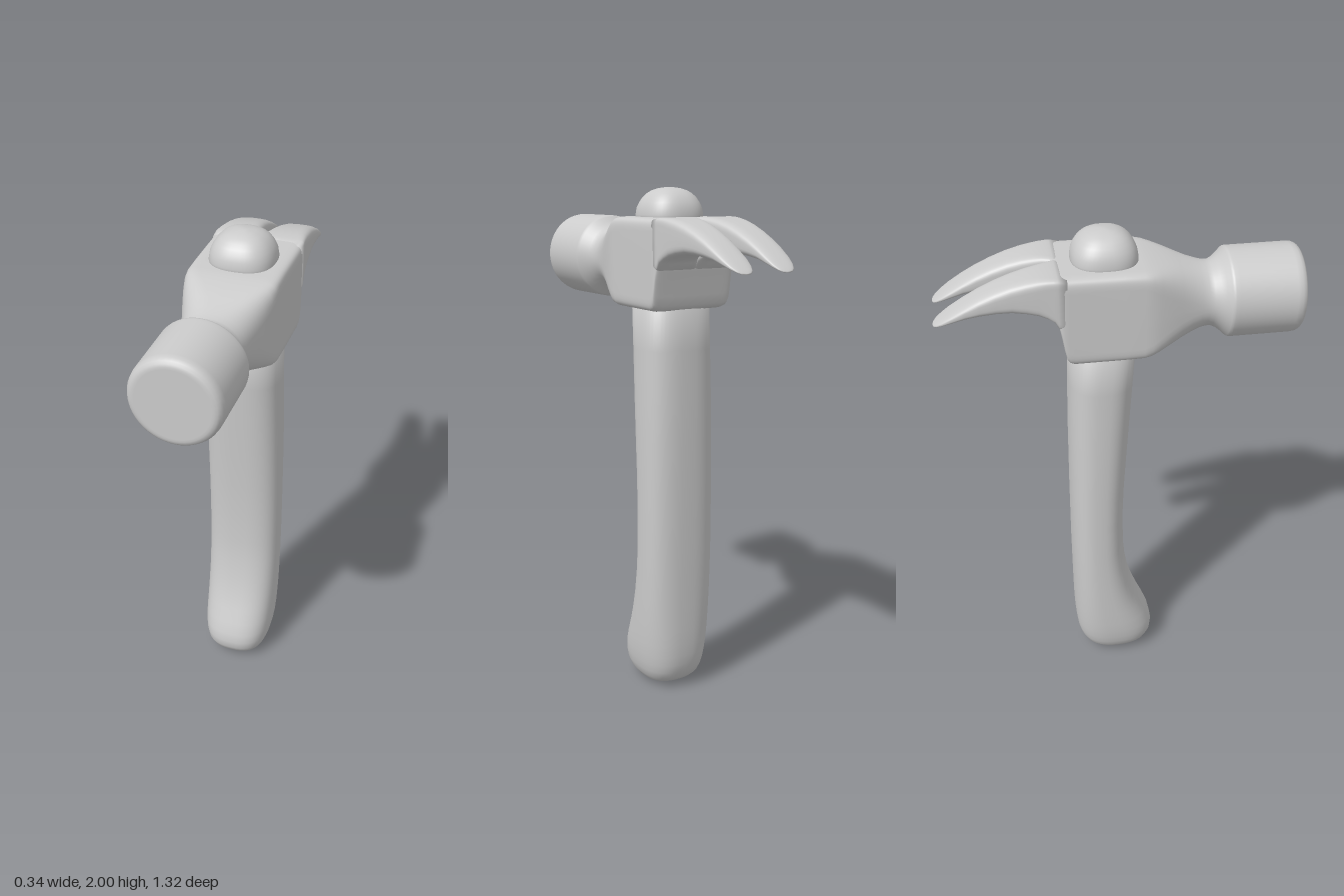
import * as THREE from 'three';

const material = new THREE.MeshStandardMaterial({ color: 0xcccccc });

// Lofts superellipse rings. Row: [t, aMin, aMax, bMin, bMax, squareness], t ascending.
// place(a, b, t) maps to a point, with a x b pointing along t.
function loft(name, rows, place, sides = 48) {
  const pos = [], idx = [];
  const bend = (v, n) => Math.sign(v) * Math.pow(Math.abs(v), 2 / n);
  for (const [t, a0, a1, b0, b1, n] of rows) {
    for (let j = 0; j < sides; j++) {
      const u = (j / sides) * Math.PI * 2;
      const a = (a0 + a1) / 2 + bend(Math.cos(u), n) * (a1 - a0) / 2;
      const b = (b0 + b1) / 2 + bend(Math.sin(u), n) * (b1 - b0) / 2;
      pos.push(...place(a, b, t));
    }
  }
  const last = (rows.length - 1) * sides;
  for (let i = 0; i < last; i += sides) {
    for (let j = 0; j < sides; j++) {
      const k = (j + 1) % sides;
      idx.push(i + j, i + k, i + sides + k, i + j, i + sides + k, i + sides + j);
    }
  }
  // End caps
  const first = rows[0], end = rows[rows.length - 1], c = pos.length / 3;
  for (const [t, a0, a1, b0, b1] of [first, end]) pos.push(...place((a0 + a1) / 2, (b0 + b1) / 2, t));
  for (let j = 0; j < sides; j++) {
    const k = (j + 1) % sides;
    idx.push(c, k, j, c + 1, last + j, last + k);
  }
  const geo = new THREE.BufferGeometry();
  geo.setAttribute('position', new THREE.Float32BufferAttribute(pos, 3));
  geo.setIndex(idx);
  geo.computeVertexNormals();
  const mesh = new THREE.Mesh(geo, material);
  mesh.name = name;
  return mesh;
}

const upright = (z, x, y) => [x, y, z];
const alongZ = (x, y, z) => [x, y, z];

export function createModel() {
  const group = new THREE.Group();
  group.name = 'hammer';

  // Handle: [y, back z, front z, half width]
  const grip = [
    [0.0, -0.07, 0.03, 0.05], [0.008, -0.105, 0.065, 0.08], [0.022, -0.135, 0.095, 0.105],
    [0.045, -0.16, 0.122, 0.122], [0.075, -0.175, 0.137, 0.133], [0.11, -0.185, 0.14, 0.14],
    [0.15, -0.19, 0.132, 0.145], [0.2, -0.194, 0.112, 0.148], [0.26, -0.196, 0.086, 0.149],
    [0.32, -0.197, 0.063, 0.15], [0.4, -0.198, 0.04, 0.15], [0.5, -0.199, 0.022, 0.15],
    [0.6, -0.2, 0.013, 0.15], [0.75, -0.2, 0.011, 0.15], [0.9, -0.2, 0.016, 0.15],
    [1.05, -0.199, 0.025, 0.15], [1.2, -0.198, 0.035, 0.149], [1.4, -0.194, 0.049, 0.146],
    [1.6, -0.19, 0.062, 0.144],
  ];
  group.add(loft('handle', grip.map(([y, b, f, w]) => [y, b, f, -w, w, 2.6]), upright));

  // Domed end of the handle above the head: [y, radius]
  const knob = [
    [1.86, 0.121], [1.9, 0.12], [1.925, 0.116], [1.945, 0.107], [1.962, 0.096],
    [1.977, 0.081], [1.988, 0.063], [1.996, 0.04], [2.0, 0.012],
  ];
  group.add(loft('handleTop', knob.map(([y, r]) => [y, -0.053 - r, -0.053 + r, -r, r, 2.5]), upright));

  // Head block, neck and striking face: [z, half width, bottom y, top y, squareness]
  const head = [
    [-0.238, 0.155, 1.745, 1.885, 12], [-0.23, 0.166, 1.70, 1.892, 12],
    [-0.222, 0.17, 1.66, 1.893, 12], [-0.214, 0.171, 1.61, 1.893, 12],
    [-0.207, 0.172, 1.575, 1.893, 12], [-0.197, 0.172, 1.56, 1.893, 12],
    [-0.18, 0.172, 1.554, 1.893, 12], [0.0, 0.172, 1.554, 1.893, 12],
    [0.07, 0.172, 1.554, 1.892, 11], [0.1, 0.17, 1.557, 1.889, 9],
    [0.13, 0.164, 1.563, 1.884, 6.5], [0.17, 0.153, 1.573, 1.876, 4.5],
    [0.21, 0.14, 1.584, 1.865, 3.4], [0.25, 0.128, 1.594, 1.853, 2.7],
    [0.285, 0.121, 1.602, 1.845, 2.3], [0.31, 0.119, 1.604, 1.84, 2.1],
    [0.33, 0.122, 1.602, 1.841, 2], [0.35, 0.131, 1.592, 1.85, 2],
    [0.368, 0.146, 1.577, 1.865, 2], [0.383, 0.16, 1.562, 1.88, 2],
    [0.389, 0.164, 1.558, 1.885, 2], [0.396, 0.165, 1.556, 1.886, 2],
    [0.41, 0.165, 1.556, 1.886, 2], [0.62, 0.165, 1.556, 1.886, 2],
    [0.638, 0.163, 1.558, 1.884, 2], [0.65, 0.157, 1.564, 1.878, 2],
    [0.657, 0.149, 1.572, 1.87, 2], [0.66, 0.139, 1.582, 1.86, 2],
    [0.66, 0.13, 1.591, 1.851, 2],
  ];
  group.add(loft('head', head.map(([z, w, b, t, n]) => [z, -w, w, b, t, n]), alongZ));

  // Pair of curved claws: [z, inner x, outer x, bottom y, top y, squareness]
  const claw = [
    [-0.664, 0.08, 0.092, 1.722, 1.726, 2.5], [-0.66, 0.066, 0.108, 1.722, 1.73, 2.5],
    [-0.65, 0.054, 0.121, 1.725, 1.739, 2.5], [-0.63, 0.044, 0.133, 1.732, 1.754, 2.6],
    [-0.6, 0.037, 0.142, 1.742, 1.775, 2.8], [-0.55, 0.033, 0.149, 1.756, 1.806, 3],
    [-0.5, 0.029, 0.153, 1.764, 1.833, 3.3], [-0.445, 0.025, 0.157, 1.77, 1.857, 3.7],
    [-0.39, 0.021, 0.161, 1.772, 1.876, 4.2], [-0.34, 0.016, 0.165, 1.766, 1.888, 5],
    [-0.3, 0.011, 0.167, 1.758, 1.894, 6], [-0.27, 0.006, 0.169, 1.747, 1.896, 8],
    [-0.245, -0.002, 0.171, 1.732, 1.896, 10], [-0.232, -0.006, 0.172, 1.708, 1.895, 12],
    [-0.2, -0.006, 0.171, 1.7, 1.89, 12],
  ];
  group.add(loft('leftClaw', claw, alongZ));
  group.add(loft('rightClaw', claw.map(([z, i, o, ...rest]) => [z, -o, -i, ...rest]), alongZ));

  return group;
}
